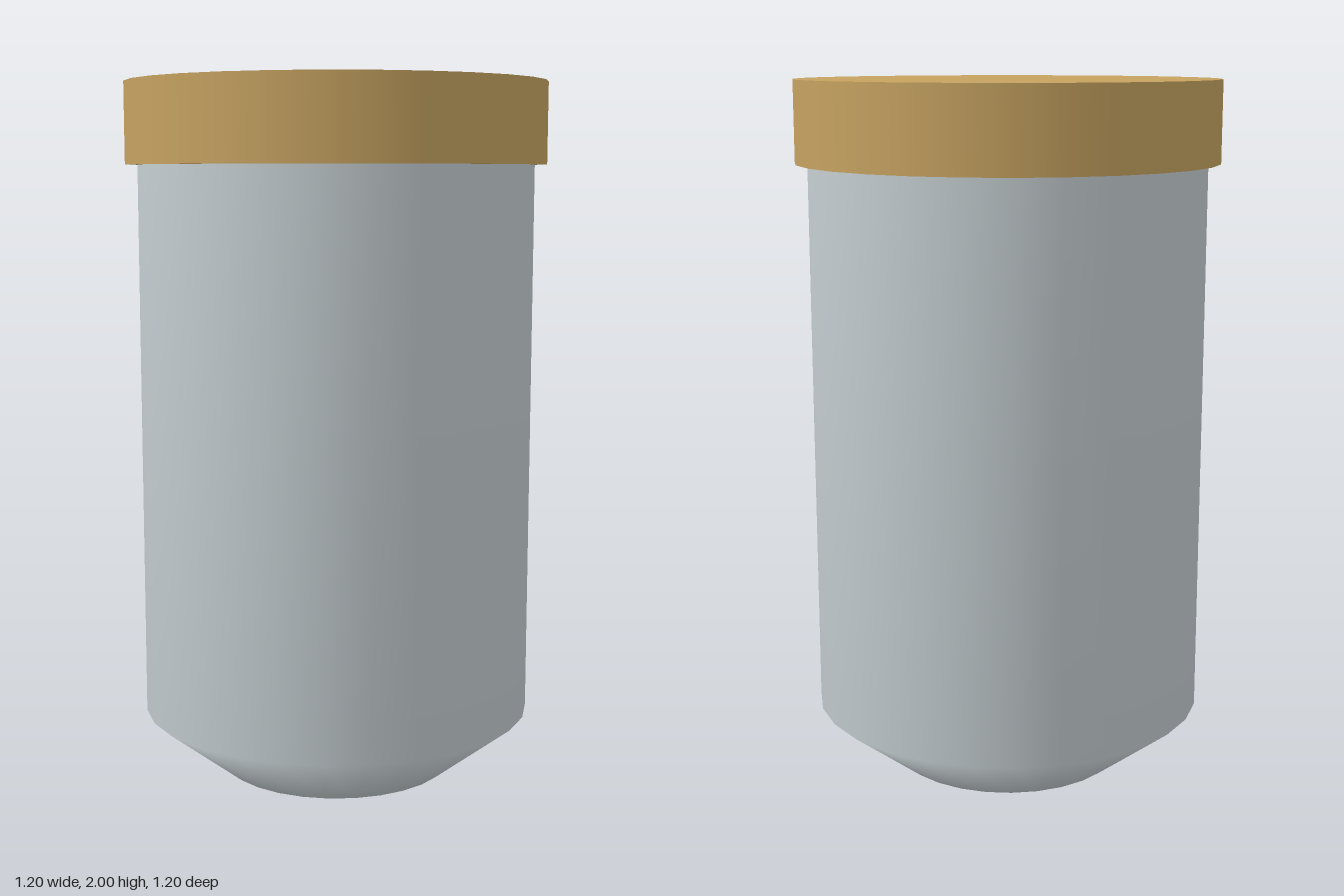
import * as THREE from 'three';
import { mergeVertices } from 'three/addons/utils/BufferGeometryUtils.js';

const SIDES = 28;

export function createModel() {
  const group = new THREE.Group();
  group.name = 'jar';
  const glass = new THREE.MeshStandardMaterial({ color: 0xc6cfd2 });
  glass.name = 'pale grey';
  const tan = new THREE.MeshStandardMaterial({ color: 0xc6a260 });
  tan.name = 'tan';

  // Body: straight wall with a tapered foot, shaded smoothly across its edges
  const profile = [[0, 0], [0.335, 0], [0.565, 0.18], [0.565, 1.78]]
    .map(([r, y]) => new THREE.Vector2(r, y));
  let bodyGeometry = new THREE.LatheGeometry(profile, SIDES);
  bodyGeometry.deleteAttribute('uv');
  bodyGeometry.deleteAttribute('normal');
  bodyGeometry = mergeVertices(bodyGeometry, 1e-4);
  bodyGeometry.computeVertexNormals();
  const body = new THREE.Mesh(bodyGeometry, glass);
  body.name = 'body';

  // Lid: a wider flat disc overhanging the body
  const lid = new THREE.Mesh(new THREE.CylinderGeometry(0.6, 0.6, 0.23, SIDES), tan);
  lid.name = 'lid';
  lid.position.y = 1.885;

  group.add(body, lid);
  return group;
}
